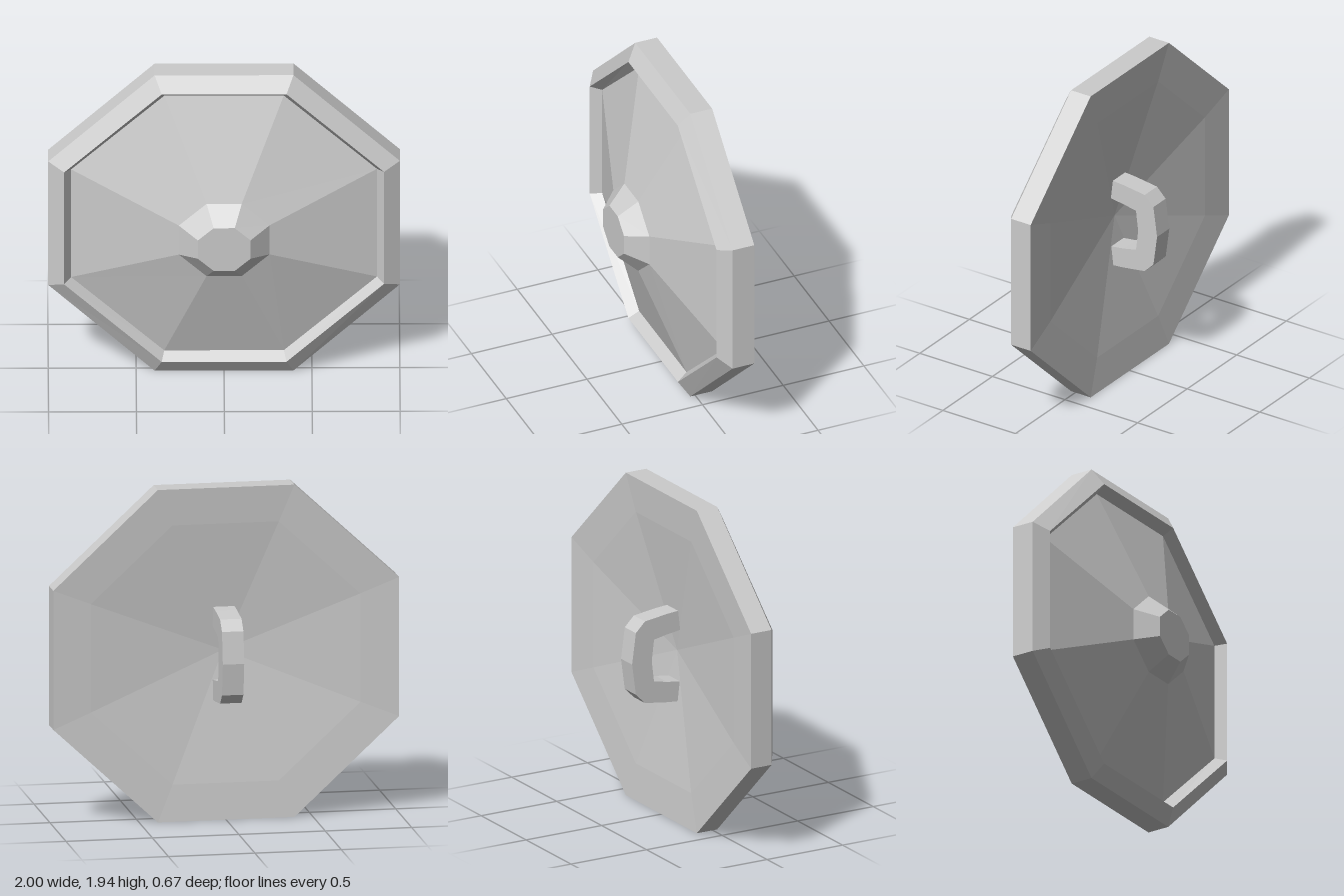
import * as THREE from 'three';

const material = new THREE.MeshStandardMaterial({ color: 0xcccccc, flatShading: true });
const CENTRE_Y = 0.968;

// Octagon: flat top half-width a at height h, flat side half-height b at width w
function octagon({ w, h, a, b, z }) {
  return [[w, -b], [w, b], [a, h], [-a, h], [-w, b], [-w, -b], [-a, -h], [a, -h]]
    .map(([x, y]) => [x, y + CENTRE_Y, z]);
}

// Skin successive octagons with flat facets
function loft(name, rings) {
  const loops = rings.map(octagon);
  const pos = [];
  for (let i = 0; i < loops.length - 1; i++) {
    const p = loops[i], q = loops[i + 1];
    for (let k = 0; k < 8; k++) {
      const n = (k + 1) % 8;
      if (rings[i].w > 0) pos.push(...p[k], ...p[n], ...q[n]);
      if (rings[i + 1].w > 0) pos.push(...p[k], ...q[n], ...q[k]);
    }
  }
  const geometry = new THREE.BufferGeometry();
  geometry.setAttribute('position', new THREE.Float32BufferAttribute(pos, 3));
  geometry.computeVertexNormals();
  const mesh = new THREE.Mesh(geometry, material);
  mesh.name = name;
  return mesh;
}

const ring = (w, h, a, b, z) => ({ w, h, a, b, z });

export function createModel() {
  const group = new THREE.Group();
  group.name = 'shield';

  const rimBack = ring(1, 0.968, 0.395, 0.405, -0.105);
  const rimFront = ring(1, 0.968, 0.395, 0.405, 0.03);
  const rimInner = ring(0.91, 0.877, 0.355, 0.367, 0.09);
  const groove = ring(0.87, 0.835, 0.34, 0.353, 0.03);
  const bossBase = ring(0.258, 0.237, 0.1, 0.095, 0.225);
  const bossTop = ring(0.15, 0.14, 0.06, 0.06, 0.335);

  // Bevelled rim with its inner lip
  group.add(loft('rim', [rimBack, rimFront, rimInner, groove]));

  // Faceted cone and central boss
  group.add(loft('frontPanel', [groove, bossBase]));
  group.add(loft('boss', [bossBase, bossTop, ring(0, 0, 0, 0, 0.335)]));

  // Shallow dished back
  group.add(loft('backPanel', [
    ring(0, 0, 0, 0, 0),
    ring(0.78, 0.755, 0.308, 0.316, -0.09),
    rimBack,
  ]));

  // Upright grip, drawn in (-z, y) and extruded across x
  const profile = [
    [0.01, 1.228], [0.105, 1.22], [0.25, 1.2], [0.31, 1.14], [0.335, 0.955],
    [0.31, 0.77], [0.25, 0.71], [0.105, 0.69], [0.01, 0.682],
    [0.01, 0.80], [0.105, 0.812], [0.19, 0.83], [0.205, 0.955],
    [0.19, 1.08], [0.105, 1.097], [0.01, 1.11],
  ];
  const shape = new THREE.Shape(profile.map(([x, y]) => new THREE.Vector2(x, y)));
  const gripGeometry = new THREE.ExtrudeGeometry(shape, { depth: 0.124, bevelEnabled: false });
  gripGeometry.translate(0, 0, -0.062).rotateY(Math.PI / 2);
  const grip = new THREE.Mesh(gripGeometry, material);
  grip.name = 'handle';
  group.add(grip);

  return group;
}
